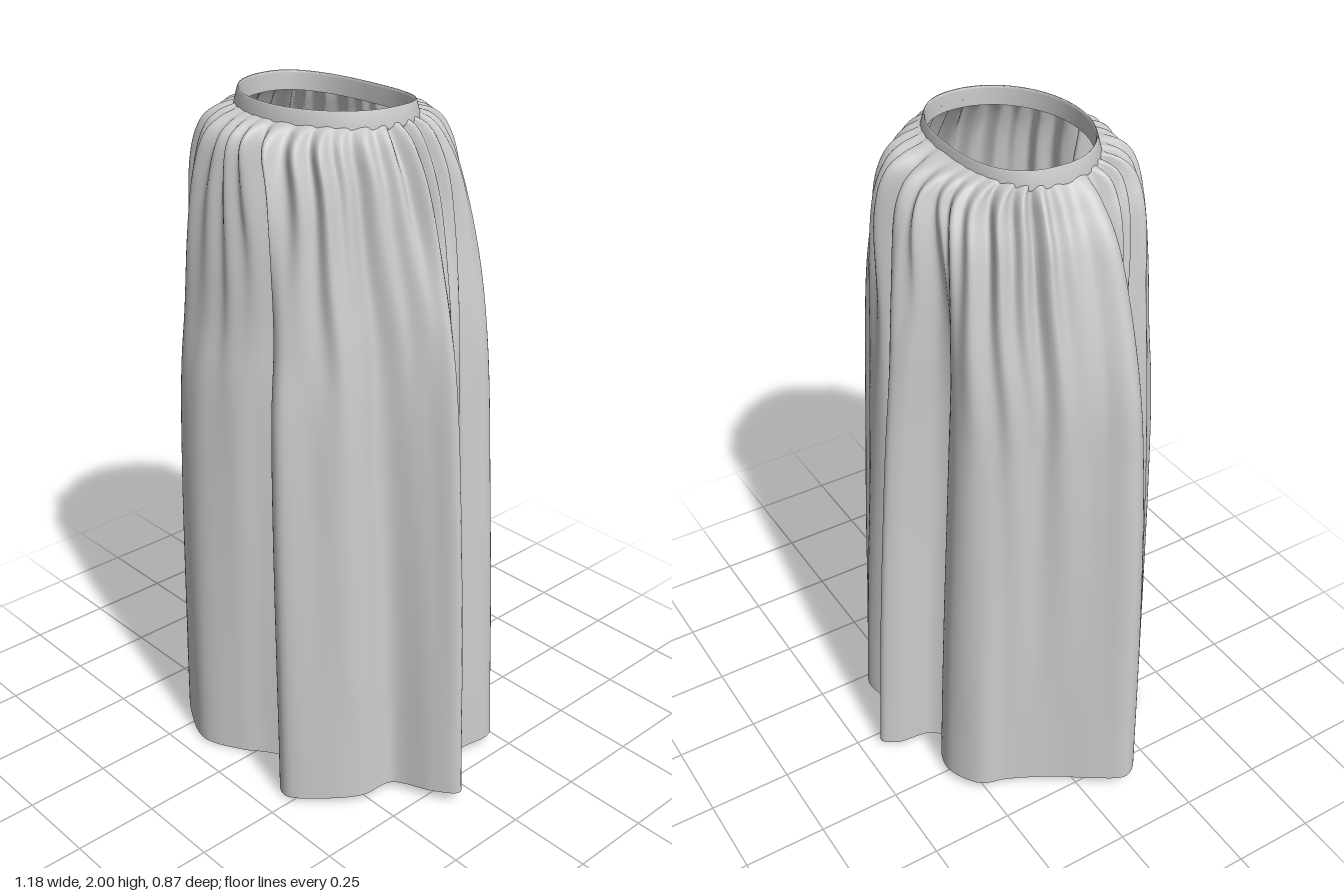
import * as THREE from 'three';

const COLS = 400, ROWS = 90, ZC = 0.045;

// Hem outline (x, z), running from the left side past the front
const HEM = [
  [0.59, 0.07], [0.525, 0.117], [0.41, 0.165], [0.39, 0.27], [0.32, 0.36], [0.23, 0.43], [0.18, 0.41],
  [0.175, 0.335], [0.1, 0.3], [0.03, 0.33], [-0.04, 0.383], [-0.155, 0.435], [-0.27, 0.395], [-0.365, 0.325],
  [-0.38, 0.25], [-0.383, 0.16], [-0.385, 0.09], [-0.42, 0.075], [-0.465, 0.125], [-0.54, 0.185],
  [-0.59, 0.13], [-0.55, 0.05], [-0.47, -0.06], [-0.4, -0.19], [-0.37, -0.27], [-0.265, -0.32],
  [-0.18, -0.295], [-0.15, -0.25], [-0.1, -0.285], [-0.08, -0.4], [-0.045, -0.44], [-0.002, -0.395],
  [0.025, -0.3], [0.05, -0.285], [0.1, -0.33], [0.19, -0.355], [0.255, -0.315], [0.29, -0.235],
  [0.35, -0.225], [0.435, -0.23], [0.46, -0.19], [0.445, -0.09], [0.48, -0.02], [0.56, 0.03],
];

// Levels: y, left x, right x, front z, back z, share of the hem folds, gather depth,
// roundness of the back corners
const LEVELS = [
  [1.965, 0.252, 0.268, 0.262, -0.132, 0, 0.002, 0.8],
  [1.945, 0.278, 0.295, 0.32, -0.2, 0.03, 0.014, 0.88],
  [1.9, 0.315, 0.335, 0.36, -0.255, 0.16, 0.017, 0.92],
  [1.8, 0.367, 0.4, 0.377, -0.295, 0.36, 0.014, 0.85],
  [1.6, 0.428, 0.465, 0.391, -0.325, 0.62, 0.008, 0.7],
  [1.4, 0.482, 0.513, 0.4, -0.345, 0.8, 0.004, 0.6],
  [1.2, 0.515, 0.535, 0.418, -0.362, 0.89, 0.001, 0.6],
  [0.9, 0.542, 0.557, 0.428, -0.384, 0.95, 0, 0.7],
  [0.5, 0.568, 0.576, 0.434, -0.412, 0.98, 0, 0.9],
  [0, 0.59, 0.59, 0.437, -0.44, 1, 0, 1],
];

// Closed rings of points joined into one smooth surface, facing outward going down
function loft(name, rows, point) {
  const pos = [], index = [];
  for (let j = 0; j <= rows; j++)
    for (let i = 0; i < COLS; i++) {
      pos.push(...point(i, j / rows));
      if (j === rows) continue;
      const a = j * COLS + i, b = j * COLS + (i + 1) % COLS;
      index.push(a, b, a + COLS, b, b + COLS, a + COLS);
    }
  const geo = new THREE.BufferGeometry();
  geo.setAttribute('position', new THREE.Float32BufferAttribute(pos, 3));
  geo.setIndex(index);
  geo.computeVertexNormals();
  const mesh = new THREE.Mesh(geo, new THREE.MeshStandardMaterial({ color: 0xcccccc, side: THREE.DoubleSide }));
  mesh.name = name;
  return mesh;
}

// Unit-space point to world, given the reach to each side
const place = (u, v, left, right, front, back) =>
  [u * (u > 0 ? left : right), ZC + v * (v > 0 ? front - ZC : ZC - back)];

// Body outline in unit space: round in front, squarer across the back
function bodyRing(a, backRoundness) {
  const c = Math.cos(a), d = Math.sin(a);
  const power = d < 0 ? backRoundness : 1;
  return [Math.sign(c) * Math.abs(c) ** power, Math.sign(d) * Math.abs(d) ** power];
}

function skirtCloth() {
  const curve = new THREE.CatmullRomCurve3(HEM.map(([x, z]) =>
    new THREE.Vector3(x / 0.59, 0, (z - ZC) / (z > ZC ? 0.437 - ZC : ZC + 0.44))), true);
  curve.arcLengthDivisions = 2000;
  const hem = curve.getSpacedPoints(COLS).slice(0, COLS);

  // Each column starts at the waist at the averaged direction of its stretch of hem
  const angles = hem.map((_, i) => {
    let x = 0, z = 0;
    for (let k = -30; k <= 30; k++) {
      const p = hem[(i + k + COLS) % COLS], l = Math.hypot(p.x, p.z), w = 31 - Math.abs(k);
      x += w * p.x / l;
      z += w * p.z / l;
    }
    return Math.atan2(z, x);
  });

  const track = (...cols) => new THREE.CatmullRomCurve3(
    LEVELS.map(l => new THREE.Vector3(...cols.map(k => l[k]))), false, 'catmullrom');
  const heights = track(0, 5, 6), widths = track(1, 2, 7), depths = track(3, 4, 0);

  return loft('skirtCloth', ROWS, (i, t) => {
    const { x: y, y: folds, z: gather } = heights.getPoint(t);
    const { x: left, y: right, z: roundness } = widths.getPoint(t);
    const { x: front, y: back } = depths.getPoint(t);
    const a = angles[i], h = hem[i], [u, v] = bodyRing(a, roundness);
    const [x, z] = place(
      THREE.MathUtils.lerp(u, h.x, folds), THREE.MathUtils.lerp(v, h.z, folds), left, right, front, back);
    // Irregular gathers under the band, and softer folds that run further down
    const sway = 0.5 * Math.sin(9 * y + 4 * a) * Math.min(1, 4 * (2 - y));
    const fine = Math.sin(32 * a + 1.4 * Math.sin(3 * a) + 0.9 * Math.sin(7 * a + 1) + sway);
    const broad = Math.sin(17 * a + 1.2 * Math.sin(2 * a + 0.5) + 0.5 * Math.sin(5 * a));
    const reach = 1 + 0.45 * Math.sin(5 * a + 2);
    const r = gather * reach * fine + 0.01 * broad * Math.sin(Math.PI * Math.min(1, t * 1.05)) ** 0.8;
    // Hem rises a little at the sides and back
    const lift = (0.04 * Math.abs(h.x) ** 1.5 + 0.02 * Math.max(0, -h.z)) * (1 - y / 2);
    return [x + Math.cos(a) * r, y + lift, z + Math.sin(a) * r];
  });
}

function waistband() {
  // Section: distance out from the waist line, and height
  const section = [[0, 1.945], [0, 1.992], [0.002, 1.998], [0.004, 2], [0.006, 1.996], [0.017, 1.955], [0.012, 1.945]];
  return loft('waistband', section.length - 1, (i, t) => {
    const a = i / COLS * 2 * Math.PI, [u, v] = bodyRing(a, 0.8);
    const [out, y] = section[Math.round(t * (section.length - 1))];
    const [x, z] = place(u, v, 0.25 + out, 0.266 + out, 0.256 + out, -0.125 - out);
    return [x, y - 0.012 * Math.max(0, -v) ** 2, z];
  });
}

export function createModel() {
  const model = new THREE.Group();
  model.name = 'gatheredSkirt';
  model.add(skirtCloth(), waistband());
  return model;
}
